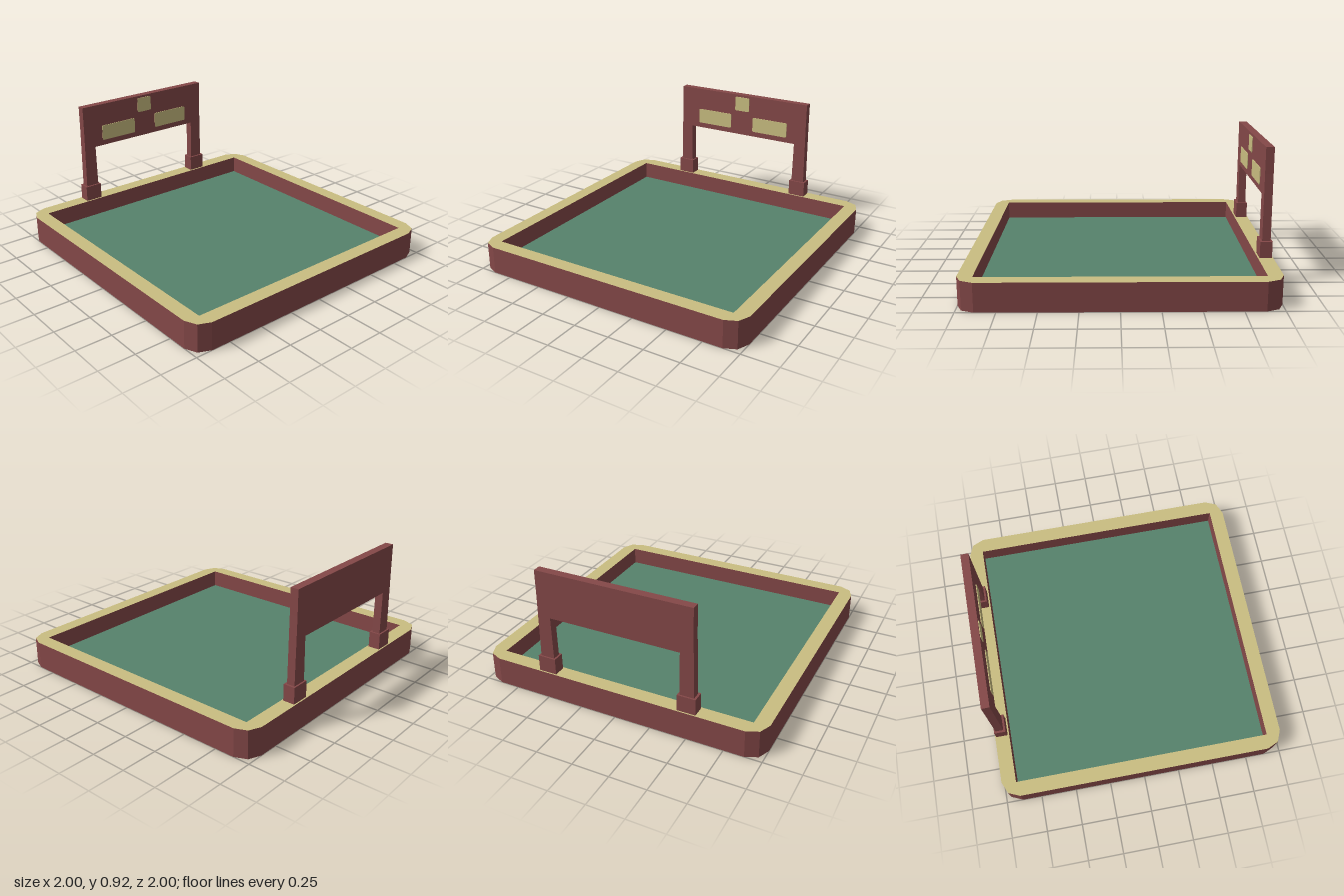
import * as THREE from 'three';

const flat = (name, color) => {
  const m = new THREE.MeshStandardMaterial({ color });
  m.name = name;
  return m;
};

const shapeOf = (pts) => new THREE.Shape(pts.map(([x, y]) => new THREE.Vector2(x, y)));

// Square outline with each corner cut into two facets
function trayOutline() {
  const corner = [[1, 0.885], [0.965, 0.965], [0.885, 1]];
  const pts = [];
  for (let i = 0; i < 4; i++) {
    for (const [x, y] of corner) {
      const c = [1, 0, -1, 0][i], s = [0, 1, 0, -1][i];
      pts.push([x * c - y * s, x * s + y * c]);
    }
  }
  return shapeOf(pts);
}

// Plate outline with small rounded corners
function plateOutline(w, h, r) {
  const s = new THREE.Shape();
  s.absarc(w / 2 - r, h / 2 - r, r, 0, Math.PI / 2);
  s.absarc(-w / 2 + r, h / 2 - r, r, Math.PI / 2, Math.PI);
  s.absarc(-w / 2 + r, -h / 2 + r, r, Math.PI, Math.PI * 1.5);
  s.absarc(w / 2 - r, -h / 2 + r, r, Math.PI * 1.5, Math.PI * 2);
  return s;
}

export function createModel() {
  const group = new THREE.Group();
  const red = flat('brick red', 0x844848);
  const sand = flat('sand', 0xcabe81);
  const green = flat('pool green', 0x56826c);

  const add = (name, geometry, material, x = 0, y = 0, z = 0) => {
    const mesh = new THREE.Mesh(geometry, material);
    mesh.name = name;
    mesh.position.set(x, y, z);
    group.add(mesh);
    return mesh;
  };
  const extrude = (shape, depth) =>
    new THREE.ExtrudeGeometry(shape, { depth, bevelEnabled: false, curveSegments: 3 });

  // Tray: solid bottom, raised wall with a sand rim, green floor
  const floorY = 0.06, rimY = 0.19;
  add('trayBottom', extrude(trayOutline(), floorY).rotateX(-Math.PI / 2), red);
  const ring = trayOutline();
  ring.holes.push(shapeOf([[-0.9, -0.9], [-0.9, 0.9], [0.9, 0.9], [0.9, -0.9]]));
  add('trayWall', extrude(ring, rimY - floorY).rotateX(-Math.PI / 2), [sand, red], 0, floorY, 0);
  add('trayFloor', new THREE.PlaneGeometry(1.8, 1.8).rotateX(-Math.PI / 2), green, 0, floorY + 0.003, 0);

  // Gateway: two legs carrying a wide panel
  const half = [[0.54, 0.92], [0.54, 0.75], [0.546, 0.28], [0.448, 0.28], [0.452, 0.6]];
  const gate = [...half, ...half.map(([x, y]) => [-x, y]).reverse()].reverse();
  add('gateway', extrude(shapeOf(gate), 0.055), red, 0, 0, -0.98);

  // Feet on the rim
  for (const side of [-1, 1]) {
    add(side > 0 ? 'leftFoot' : 'rightFoot', new THREE.BoxGeometry(0.125, 0.12, 0.08), red,
      side * 0.498, 0.242, -0.951);
  }

  // Thin sand plates on the front of the panel
  const plate = (name, x, y, w, h) =>
    add(name, extrude(plateOutline(w, h, 0.01), 0.006), sand, x, y, -0.926);
  plate('topPlate', 0, 0.848, 0.12, 0.11);
  plate('leftPlate', 0.24, 0.697, 0.29, 0.114);
  plate('rightPlate', -0.24, 0.697, 0.29, 0.114);

  return group;
}
